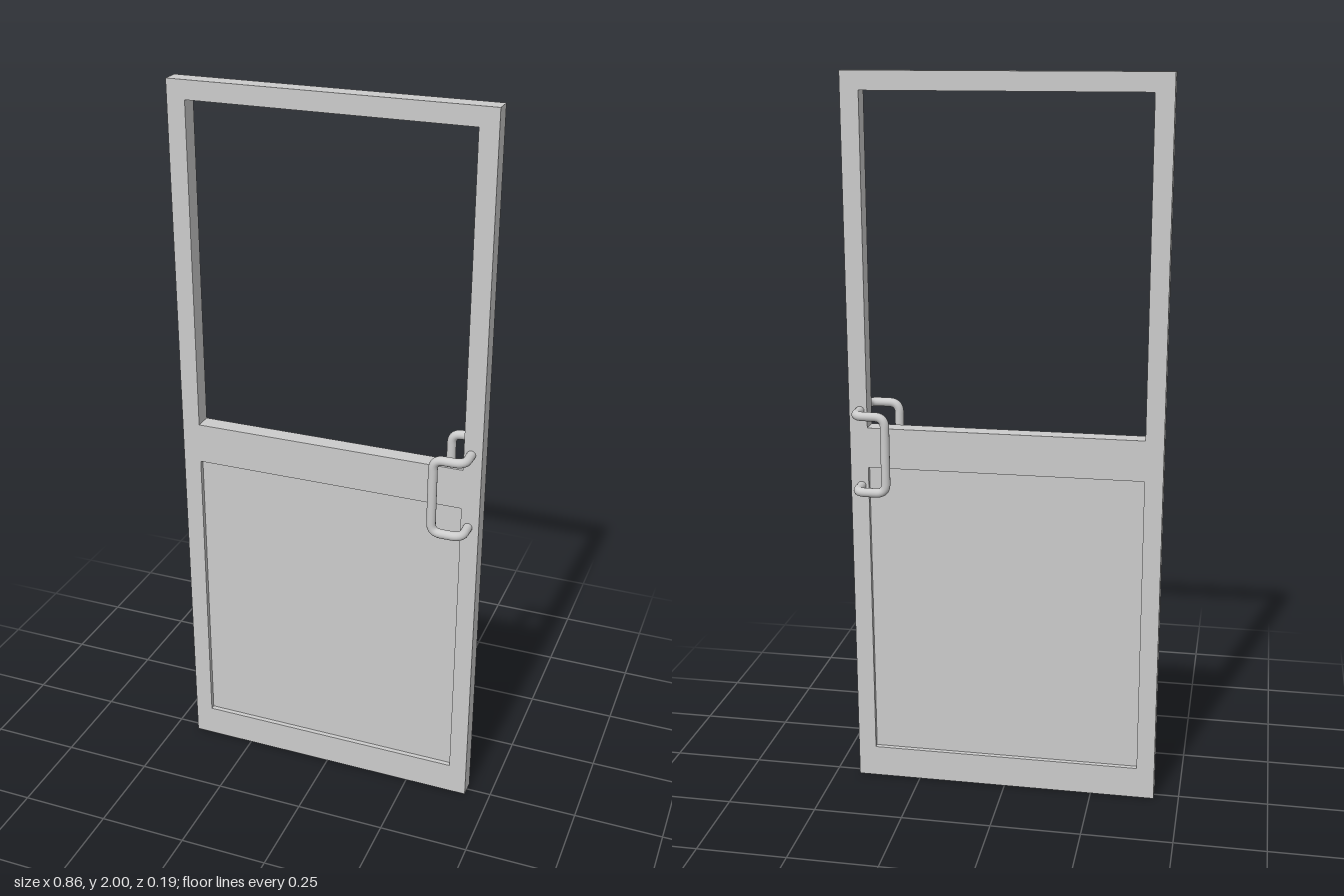
import * as THREE from 'three';

const W = 0.43, H = 2, T = 0.049; // half width, height, thickness
const IN = 0.38;                  // half width of the openings

export function createModel() {
  const group = new THREE.Group();
  const mat = new THREE.MeshStandardMaterial({ color: 0xcccccc });
  const add = (name, geo) => {
    const mesh = new THREE.Mesh(geo, mat);
    mesh.name = name;
    group.add(mesh);
    return mesh;
  };
  const box = (name, y0, y1, depth) =>
    add(name, new THREE.BoxGeometry(IN * 2, y1 - y0, depth)).position.set(0, (y0 + y1) / 2, 0);

  // Outer frame: one slab with a tall opening
  const rect = (path, x, y0, y1) =>
    path.moveTo(-x, y0).lineTo(x, y0).lineTo(x, y1).lineTo(-x, y1).closePath();
  const outline = rect(new THREE.Shape(), W, 0, H);
  outline.holes.push(rect(new THREE.Path(), IN, 0.09, 1.95));
  const frame = new THREE.ExtrudeGeometry(outline, { depth: T, bevelEnabled: false });
  add('doorFrame', frame.translate(0, 0, -T / 2));

  // Middle rail below the open window, and the recessed lower panel
  box('middleRail', 0.94, 1.053, T);
  box('lowerPanel', 0.09, 0.94, 0.022);

  // Pull handles: out from the stile, sideways, down and back, with rounded corners
  for (const [name, s] of [['frontHandle', 1], ['backHandle', -1]]) {
    const corners = [
      [0.40, 1.101, 0.02], [0.40, 1.101, 0.083], [0.316, 1.101, 0.083],
      [0.316, 0.887, 0.083], [0.40, 0.887, 0.083], [0.40, 0.887, 0.02],
    ].map(([x, y, z]) => new THREE.Vector3(x, y, z * s));
    const path = new THREE.CurvePath();
    let from = corners[0];
    for (let i = 1; i < corners.length - 1; i++) {
      const c = corners[i];
      const toward = (p) => c.clone().add(p.clone().sub(c).setLength(0.028));
      const a = toward(corners[i - 1]), b = toward(corners[i + 1]);
      path.add(new THREE.LineCurve3(from, a));
      path.add(new THREE.QuadraticBezierCurve3(a, c, b));
      from = b;
    }
    path.add(new THREE.LineCurve3(from, corners[corners.length - 1]));
    add(name, new THREE.TubeGeometry(path, 90, 0.0125, 16, false));
  }
  return group;
}
